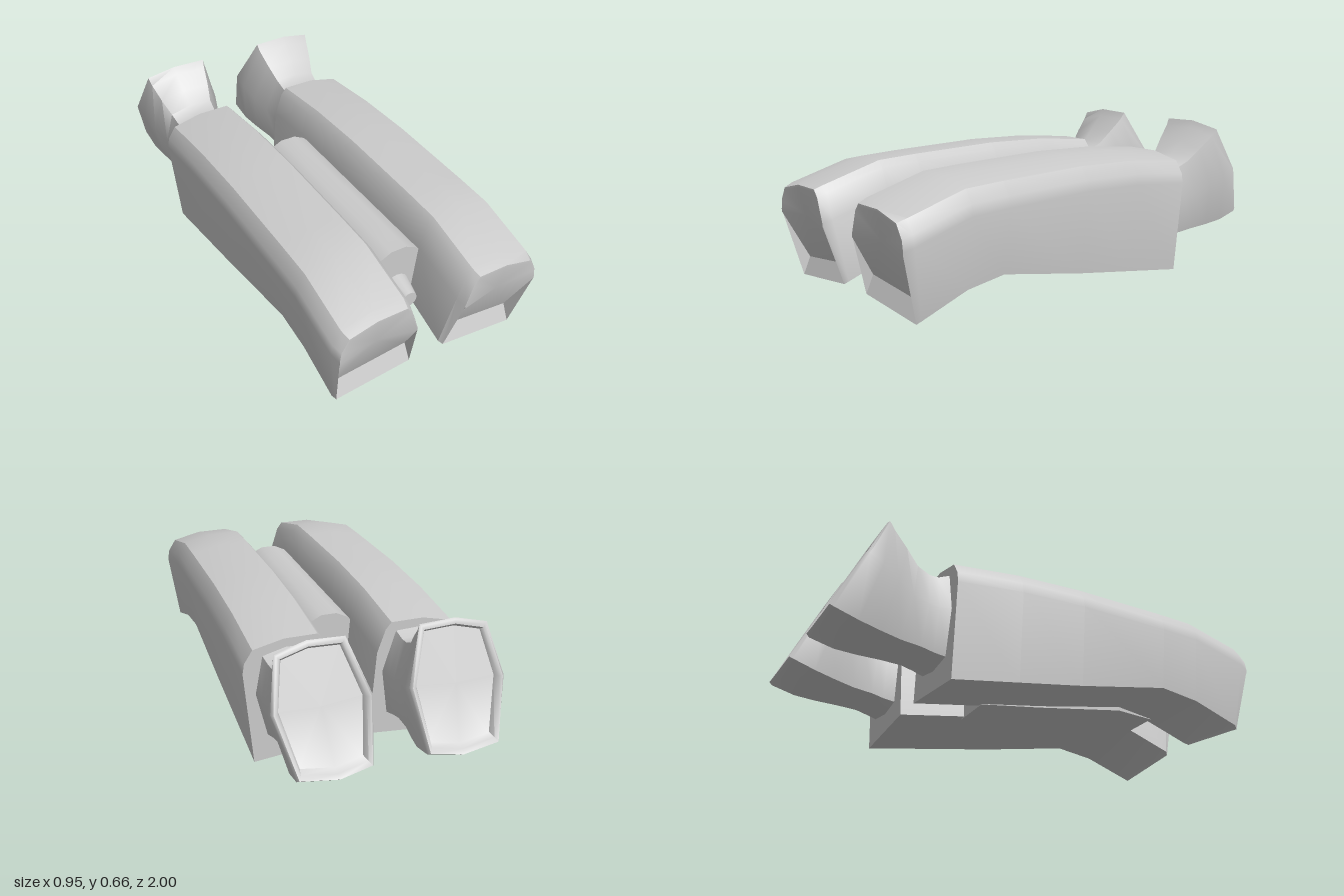
import * as THREE from 'three';
import { toCreasedNormals } from 'three/addons/utils/BufferGeometryUtils.js';

const material = new THREE.MeshStandardMaterial({ color: 0xcccccc });

// Skins a list of rings ([x, y, z] points, counter-clockwise seen from the front),
// ordered from back to front, and closes both ends.
function loft(rings, crease = 0.7) {
  const n = rings[0].length;
  const centre = ring => [0, 1, 2].map(k => ring.reduce((s, p) => s + p[k], 0) / n);
  const index = [];
  for (let i = 0; i < rings.length - 1; i++) {
    for (let j = 0; j < n; j++) {
      const a = i * n + j, b = i * n + (j + 1) % n;
      index.push(a, b, b + n, a, b + n, a + n);
    }
  }
  const last = (rings.length - 1) * n, c0 = rings.length * n, c1 = c0 + 1;
  for (let j = 0; j < n; j++) {
    const k = (j + 1) % n;
    index.push(c0, k, j, c1, last + j, last + k);
  }
  const points = [...rings.flat(), centre(rings[0]), centre(rings[rings.length - 1])];
  const g = new THREE.BufferGeometry();
  g.setAttribute('position', new THREE.Float32BufferAttribute(points.flat(), 3));
  g.setIndex(index);
  return toCreasedNormals(g, crease);
}

const mirror = rings => rings.map(r => r.map(([x, y, z]) => [-x, y, z]).reverse());

// Barrel section: slanted floor, rounded shoulders, leaning inner wall
function barrelRing(z, top, bottom) {
  return [
    [0.07, bottom + 0.035, z], [0.435, bottom, z], [0.472, top - 0.13, z],
    [0.465, top - 0.085, z], [0.43, top - 0.03, z], [0.3, top, z], [0.16, top, z],
    [0.135, top - 0.03, z], [0.1, top - 0.13, z],
  ];
}

function barrelRings() {
  const rings = [
    [-0.5, 0.547, 0.005], [-0.2, 0.58, 0.055], [0.1, 0.592, 0.105],
    [0.52, 0.586, 0.185], [0.7, 0.58, 0.16],
  ].map(s => barrelRing(...s));
  // Slanted front: the top reaches further forward than the floor
  const front = barrelRing(0, 0.51, 0.085).map(([x, y]) =>
    [x, y, y > 0.3 ? 0.96 : 0.915]);
  const lip = front.map(([x, y, z]) => [
    0.27 + (x - 0.27) * 0.93, y - (y > 0.3 ? 0.015 : 0.012), z + (y > 0.3 ? 0.04 : 0.015)]);
  // Recessed ledge along the lower edge of the front face
  const ledge = lip.map(([x, y, z]) => y > 0.3
    ? [0.27 + (x - 0.27) * 0.99, y - 0.01, z]
    : [0.27 + (x - 0.27) * 0.97, y + 0.075, 0.9]);
  return [...rings, front, lip, ledge];
}

// Eyepiece: octagonal neck flaring into a slanted cup
function eyepieceRings() {
  const cup = [
    [0.11, 0.215], [0.25, 0.19], [0.41, 0.21], [0.472, 0.44],
    [0.43, 0.635], [0.3, 0.665], [0.15, 0.66], [0.075, 0.45],
  ];
  // cx/cy centre, hw/hh half sizes, zb/zt depth at the lower and upper edge
  const ring = (cy, hw, hh, zb, zt) => cup.map(([x, y]) => {
    const u = (x - 0.273) / 0.199, v = (y - 0.4275) / 0.2375;
    return [0.273 + u * hw, cy + v * hh, zb + (zt - zb) * (v + 1) / 2];
  });
  return [
    ring(0.425, 0.165, 0.205, -0.95, -0.77),
    ring(0.427, 0.175, 0.215, -0.983, -0.782),
    ring(0.4275, 0.19, 0.23, -1, -0.778),
    ring(0.425, 0.2, 0.238, -0.985, -0.77),
    ring(0.395, 0.192, 0.236, -0.88, -0.75),
    ring(0.36, 0.17, 0.212, -0.79, -0.69),
    ring(0.328, 0.143, 0.188, -0.69, -0.635),
    ring(0.313, 0.135, 0.179, -0.6, -0.58),
    ring(0.306, 0.137, 0.186, -0.545, -0.545),
    ring(0.31, 0.15, 0.204, -0.49, -0.49),
  ];
}

// Bridge section between the barrels
function bridgeRing(z, bottom) {
  return [
    [-0.1, bottom, z], [0.1, bottom, z], [0.11, 0.43, z], [0.085, 0.455, z],
    [0.035, 0.48, z], [-0.035, 0.48, z], [-0.085, 0.455, z], [-0.11, 0.43, z],
  ];
}

export function createModel() {
  const model = new THREE.Group();
  const add = (name, geometry) => {
    const mesh = new THREE.Mesh(geometry, material);
    mesh.name = name;
    model.add(mesh);
    return mesh;
  };

  add('leftBarrel', loft(barrelRings()));
  add('rightBarrel', loft(mirror(barrelRings())));
  add('leftEyepiece', loft(eyepieceRings(), 1));
  add('rightEyepiece', loft(mirror(eyepieceRings()), 1));

  add('bridge', loft([
    bridgeRing(-0.2, 0.085), bridgeRing(0.1, 0.13), bridgeRing(0.52, 0.2), bridgeRing(0.7, 0.19),
  ]));

  // Tapered knob on the front of the bridge
  const knob = add('hingeKnob', new THREE.CylinderGeometry(0.035, 0.062, 0.1, 16));
  knob.rotation.x = Math.PI / 2;
  knob.position.set(0, 0.285, 0.745);

  return model;
}
